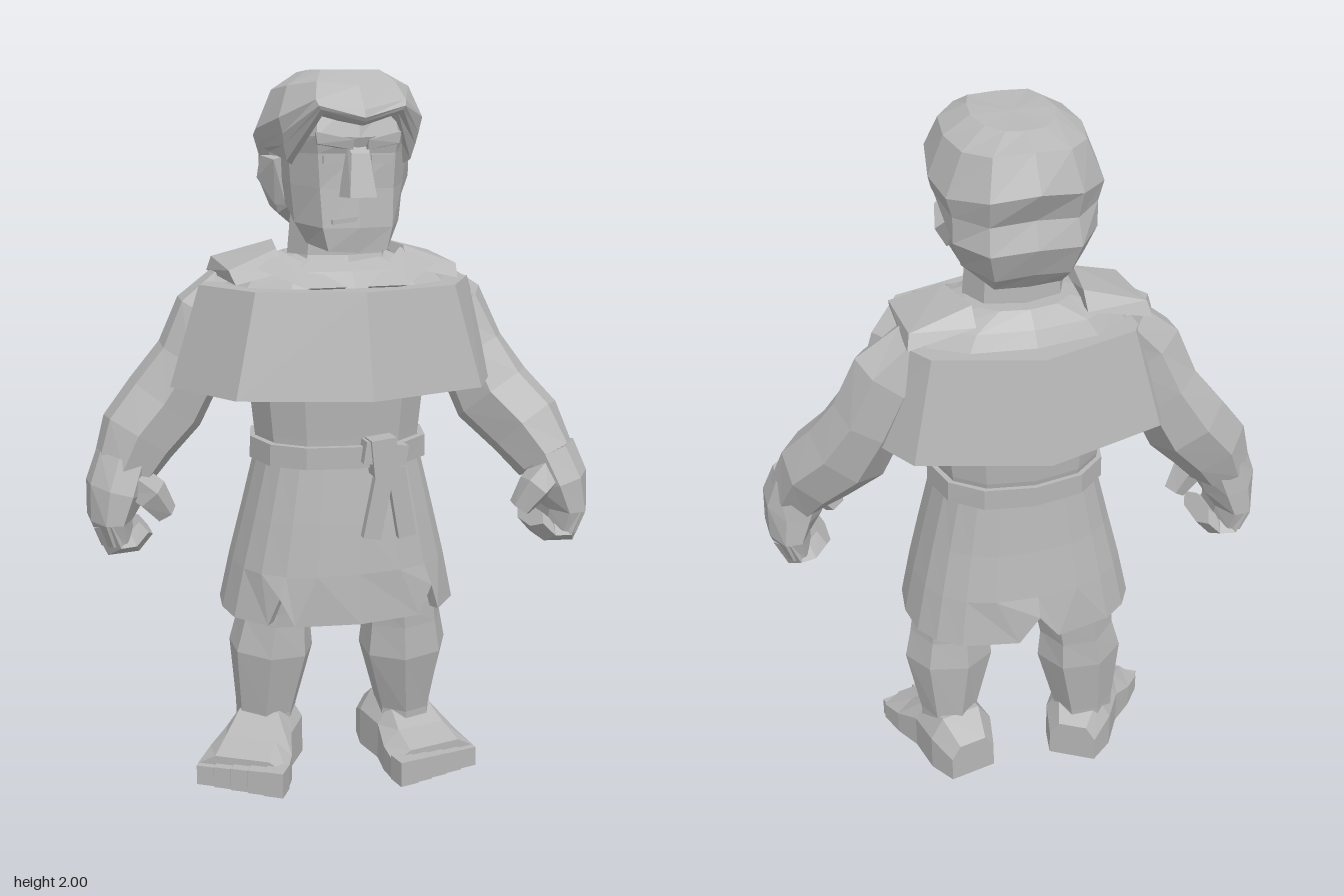
import * as THREE from 'three';
import { ConvexGeometry } from 'three/addons/geometries/ConvexGeometry.js';

const clay = new THREE.MeshStandardMaterial({ color: 0xb6b6b6, side: THREE.DoubleSide });
clay.name = 'clay grey';

const V = (p) => new THREE.Vector3(p[0], p[1], p[2]);
const middle = (pts) => pts.reduce((s, p) => s.add(p), new THREE.Vector3()).divideScalar(pts.length);

// Faceted skin through rings of points, wound outwards, with optional end caps
function loft(rings, caps = true) {
  const n = rings[0].length;
  const tris = [];
  for (let i = 0; i + 1 < rings.length; i++) {
    for (let j = 0; j < n; j++) {
      const k = (j + 1) % n;
      const [a, b, c, d] = [rings[i][j], rings[i][k], rings[i + 1][k], rings[i + 1][j]];
      tris.push([a, b, c], [a, c, d]);
    }
  }
  if (caps) {
    const first = rings[0], last = rings[rings.length - 1];
    const m0 = middle(first), m1 = middle(last);
    for (let j = 0; j < n; j++) {
      const k = (j + 1) % n;
      tris.push([m0, first[k], first[j]], [m1, last[j], last[k]]);
    }
  }
  const centre = middle(rings.flat());
  let volume = 0;
  for (const [a, b, c] of tris) {
    volume += a.clone().sub(centre).dot(b.clone().sub(centre).cross(c.clone().sub(centre)));
  }
  const points = tris.flatMap(([a, b, c]) => (volume < 0 ? [a, c, b] : [a, b, c]));
  const geometry = new THREE.BufferGeometry().setFromPoints(points);
  geometry.computeVertexNormals();
  return geometry;
}

// Level ring, squarer as power falls below 1
function oval(y, rx, rz, cz = 0, n = 12, power = 0.85) {
  const soft = (v) => Math.sign(v) * Math.abs(v) ** power;
  return Array.from({ length: n }, (_, j) => {
    const a = (j / n) * Math.PI * 2;
    return new THREE.Vector3(rx * soft(Math.sin(a)), y, cz + rz * soft(Math.cos(a)));
  });
}

// Ring from a half outline running front to back, mirrored across x = 0
function mirrored(half) {
  const back = half.slice(1, -1).reverse().map(([x, y, z]) => [-x, y, z]);
  return half.concat(back).map(V);
}

// Limb along a path of [x, y, z, width radius, depth radius]
function limb(path, n = 7) {
  const pts = path.map(V);
  return loft(path.map(([, , , r, d = r], i) => {
    const t = pts[Math.min(i + 1, pts.length - 1)].clone().sub(pts[Math.max(i - 1, 0)]).normalize();
    const u = t.clone().cross(new THREE.Vector3(0, 0, 1)).normalize();
    const v = u.clone().cross(t).normalize();
    return Array.from({ length: n }, (_, j) => {
      const a = ((j + 0.5) / n) * Math.PI * 2;
      return pts[i].clone().addScaledVector(u, r * Math.cos(a)).addScaledVector(v, d * Math.sin(a));
    });
  }));
}

export function createModel() {
  const model = new THREE.Group();
  const add = (name, geometry, parent = model) => {
    const mesh = new THREE.Mesh(geometry, clay);
    mesh.name = name;
    parent.add(mesh);
    return mesh;
  };
  const box = (name, size, at, tilt = 0, parent = model) => {
    const mesh = add(name, new THREE.BoxGeometry(...size), parent);
    mesh.position.set(...at);
    mesh.rotation.z = tilt;
  };
  const hull = (name, pts) => add(name, new ConvexGeometry(pts.map(V)));

  // Torso and neck
  add('torso', loft([
    oval(0.92, 0.22, 0.18), oval(1.03, 0.235, 0.195, -0.01), oval(1.17, 0.25, 0.205, -0.01),
    oval(1.3, 0.3, 0.22, -0.01), oval(1.43, 0.32, 0.21, -0.01), oval(1.48, 0.27, 0.17, -0.02),
    oval(1.52, 0.14, 0.12, -0.03)]));
  add('neck', loft([oval(1.42, 0.17, 0.15, 0, 8), oval(1.52, 0.14, 0.11, 0, 8), oval(1.68, 0.125, 0.1, 0, 8)]));

  // Cape: solid eight-sided block around chest and upper arms
  const capeRing = (y, a, b, c, zb) =>
    mirrored([[0, y, c], [b, y, zb], [a, y, 0], [b, y, -zb], [0, y, -c]]);
  add('cape', loft([capeRing(1.165, 0.47, 0.34, 0.345, 0.24), capeRing(1.44, 0.385, 0.275, 0.28, 0.195)]));

  // Collar flaps resting on the shoulders, meeting in a V at the chest
  for (const s of [-1, 1]) {
    hull('collarFlap', [
      [s * 0.15, 1.545, -0.13], [s * 0.18, 1.535, 0.04], [s * 0.32, 1.5, -0.15], [s * 0.32, 1.485, 0.08],
      [s * 0.15, 1.5, -0.17], [s * 0.17, 1.48, 0.11], [s * 0.33, 1.46, -0.17], [s * 0.31, 1.45, 0.12]]);
    hull('neckline', [
      [s * 0.17, 1.53, 0.04], [s * 0.25, 1.49, 0.1], [s * 0.03, 1.445, 0.2],
      [s * 0.14, 1.445, 0.2], [s * 0.15, 1.47, 0.03], [s * 0.04, 1.42, 0.15]]);
  }

  // Belt with knot and two hanging tails
  add('belt', loft([
    oval(0.955, 0.235, 0.2), oval(0.955, 0.252, 0.215), oval(1.015, 0.25, 0.215), oval(1.015, 0.23, 0.195)], false));
  box('beltKnot', [0.07, 0.1, 0.06], [0.065, 0.99, 0.22], 0.1);
  box('beltKnot', [0.12, 0.06, 0.05], [0.07, 0.995, 0.215], -0.15);
  box('beltTail', [0.05, 0.2, 0.025], [0.05, 0.86, 0.23], -0.2);
  box('beltTail', [0.05, 0.2, 0.025], [0.115, 0.86, 0.23], 0.17);

  // Skirt with narrow notches and a thin lip around the hem
  const hem = oval(0.52, 0.335, 0.25, -0.01, 20, 0.8);
  for (const i of [2, 10, 18]) {
    for (const k of [i - 1, i + 1]) hem[k].lerp(hem[i], 0.55);
  }
  for (const i of [2, 10, 18]) hem[i].y = 0.6;
  const lip = hem.map((p) => new THREE.Vector3(p.x * 0.92, p.y + 0.005, p.z * 0.92));
  add('skirt', loft([oval(0.96, 0.23, 0.195, 0, 20, 0.8), oval(0.8, 0.27, 0.215, 0, 20, 0.8),
    oval(0.66, 0.305, 0.235, -0.005, 20, 0.8), hem, lip], false));

  // Head
  add('face', loft([
    mirrored([[0, 1.535, 0.208], [0.08, 1.54, 0.2], [0.115, 1.555, 0.11], [0.125, 1.63, 0.01], [0, 1.62, -0.08]]),
    mirrored([[0, 1.6, 0.215], [0.095, 1.6, 0.2], [0.145, 1.61, 0.1], [0.155, 1.67, 0.01], [0, 1.68, -0.13]]),
    mirrored([[0, 1.7, 0.205], [0.1, 1.7, 0.19], [0.155, 1.71, 0.1], [0.165, 1.72, 0], [0, 1.72, -0.16]]),
    mirrored([[0, 1.79, 0.2], [0.105, 1.79, 0.19], [0.16, 1.79, 0.1], [0.17, 1.79, 0], [0, 1.79, -0.16]]),
    mirrored([[0, 1.83, 0.215], [0.11, 1.835, 0.2], [0.165, 1.83, 0.1], [0.17, 1.83, 0], [0, 1.83, -0.16]]),
    mirrored([[0, 1.93, 0.19], [0.1, 1.93, 0.17], [0.15, 1.92, 0.09], [0.15, 1.92, 0], [0, 1.92, -0.13]])]));
  hull('nose', [[-0.03, 1.81, 0.2], [0.03, 1.81, 0.2], [-0.052, 1.68, 0.195], [0.052, 1.68, 0.195],
    [-0.036, 1.68, 0.25], [0.036, 1.68, 0.25], [-0.024, 1.79, 0.222], [0.024, 1.79, 0.222]]);
  box('mouth', [0.075, 0.012, 0.016], [-0.035, 1.62, 0.204], 0.1);
  for (const s of [-1, 1]) {
    hull('brow', [[s * 0.02, 1.8, 0.222], [s * 0.11, 1.815, 0.205], [s * 0.02, 1.825, 0.228],
      [s * 0.115, 1.845, 0.205], [s * 0.02, 1.8, 0.19], [s * 0.11, 1.81, 0.17], [s * 0.11, 1.85, 0.17]]);
    box('eye', [0.055, 0.02, 0.016], [s * 0.065, 1.775, 0.19]);
    hull('ear', [[s * 0.15, 1.78, 0.04], [s * 0.15, 1.65, 0.03], [s * 0.15, 1.77, -0.05],
      [s * 0.21, 1.78, -0.01], [s * 0.215, 1.72, -0.03], [s * 0.175, 1.65, 0.01], [s * 0.185, 1.77, 0.04]]);
  }

  // Hair: wavy cap, low at the nape and overhanging the forehead
  add('hair', loft([
    [[0, 1.87, 0.18], [0.09, 1.88, 0.17], [0.155, 1.76, 0.11], [0.16, 1.78, 0], [0.145, 1.62, -0.08], [0.09, 1.58, -0.13], [0, 1.58, -0.14]],
    [[0, 1.86, 0.24], [0.1, 1.89, 0.225], [0.17, 1.77, 0.12], [0.19, 1.79, 0.01], [0.165, 1.64, -0.09], [0.1, 1.62, -0.17], [0, 1.63, -0.18]],
    [[0, 1.87, 0.255], [0.11, 1.9, 0.235], [0.18, 1.81, 0.13], [0.205, 1.8, 0.01], [0.19, 1.71, -0.11], [0.12, 1.7, -0.2], [0, 1.71, -0.215]],
    [[0, 1.88, 0.262], [0.115, 1.91, 0.238], [0.185, 1.84, 0.14], [0.215, 1.82, 0], [0.19, 1.78, -0.11], [0.115, 1.77, -0.18], [0, 1.78, -0.19]],
    [[0, 1.9, 0.255], [0.12, 1.925, 0.225], [0.195, 1.88, 0.14], [0.222, 1.85, 0], [0.205, 1.83, -0.11], [0.12, 1.84, -0.2], [0, 1.86, -0.232]],
    [[0, 1.96, 0.205], [0.105, 1.97, 0.18], [0.165, 1.96, 0.11], [0.18, 1.95, 0], [0.16, 1.94, -0.1], [0.1, 1.94, -0.16], [0, 1.95, -0.18]],
    [[0, 2, 0.14], [0.08, 2, 0.13], [0.1, 2, 0.07], [0.11, 1.995, 0], [0.09, 1.985, -0.06], [0.05, 1.98, -0.1], [0, 1.98, -0.11]],
  ].map(mirrored)));

  // Arms and heavy curled hands; the left arm is held wider and swings forward
  for (const [s, out, z0, z1, z2, z3, z4, zh] of [
    [1, 0.02, -0.06, -0.035, 0.01, 0.07, 0.125, 0.14], [-1, 0, -0.1, -0.11, -0.12, -0.11, -0.1, -0.09]]) {
    add('arm', limb([[s * 0.27, 1.42, z0, 0.08], [s * (0.335 + out), 1.34, z0, 0.11, 0.095],
      [s * (0.39 + out), 1.22, z1, 0.105, 0.11], [s * 0.465, 1.1, z2, 0.122, 0.12],
      [s * 0.545, 1.01, z3, 0.115, 0.115], [s * 0.59, 0.92, z4, 0.09, 0.1]]));
    add('palm', limb([[s * 0.585, 0.95, z4, 0.085, 0.095], [s * 0.615, 0.87, zh, 0.085, 0.115],
      [s * 0.635, 0.79, zh, 0.062, 0.12], [s * 0.62, 0.73, zh, 0.05, 0.105]], 8));
    add('fingers', limb([[s * 0.645, 0.79, zh, 0.05, 0.115], [s * 0.62, 0.725, zh, 0.05, 0.11],
      [s * 0.575, 0.725, zh, 0.036, 0.1], [s * 0.54, 0.76, zh, 0.03, 0.09]], 6));
    add('thumb', limb([[s * 0.575, 0.9, zh + 0.04, 0.05], [s * 0.525, 0.86, zh + 0.06, 0.05],
      [s * 0.485, 0.8, zh + 0.05, 0.034]], 5));
  }

  // Legs with a slight narrowing under the knee
  add('leftLeg', limb([[0.18, 0.64, -0.02, 0.11], [0.2, 0.5, -0.015, 0.115], [0.205, 0.44, -0.015, 0.118, 0.112],
    [0.21, 0.35, -0.02, 0.132, 0.12], [0.22, 0.16, -0.04, 0.085, 0.09], [0.22, 0.06, -0.04, 0.085]]));
  add('rightLeg', limb([[-0.16, 0.64, -0.08, 0.11], [-0.15, 0.5, -0.11, 0.115, 0.12], [-0.16, 0.44, -0.11, 0.11, 0.118],
    [-0.17, 0.35, -0.11, 0.127, 0.125], [-0.185, 0.16, -0.12, 0.092], [-0.19, 0.06, -0.12, 0.085]]));

  // Feet, turned outwards, with five blocky toes each
  const foot = (name, s, x, z, turn) => {
    const group = new THREE.Group();
    group.name = name;
    const sections = [[-0.14, 0.07, 0.12], [-0.06, 0.1, 0.175], [0.05, 0.1, 0.165], [0.13, 0.125, 0.115], [0.21, 0.135, 0.085]];
    add('sole', loft(sections.map(([d, w, h]) => [
      [-w, 0, d], [-w, h * 0.65, d], [-w * 0.6, h, d], [w * 0.6, h, d], [w, h * 0.65, d], [w, 0, d]].map(V))), group);
    for (let t = 0; t < 5; t++) {
      const length = 0.06 - t * 0.005;
      box('toe', [t ? 0.05 : 0.058, 0.074 - t * 0.004, length],
        [s * (-0.106 + t * 0.053), 0.037 - t * 0.002, 0.19 + length / 2], 0, group);
    }
    group.position.set(x, 0, z);
    group.rotation.y = turn;
    model.add(group);
  };
  foot('leftFoot', 1, 0.215, -0.06, 0.2);
  foot('rightFoot', -1, -0.195, -0.1, -0.55);

  return model;
}
